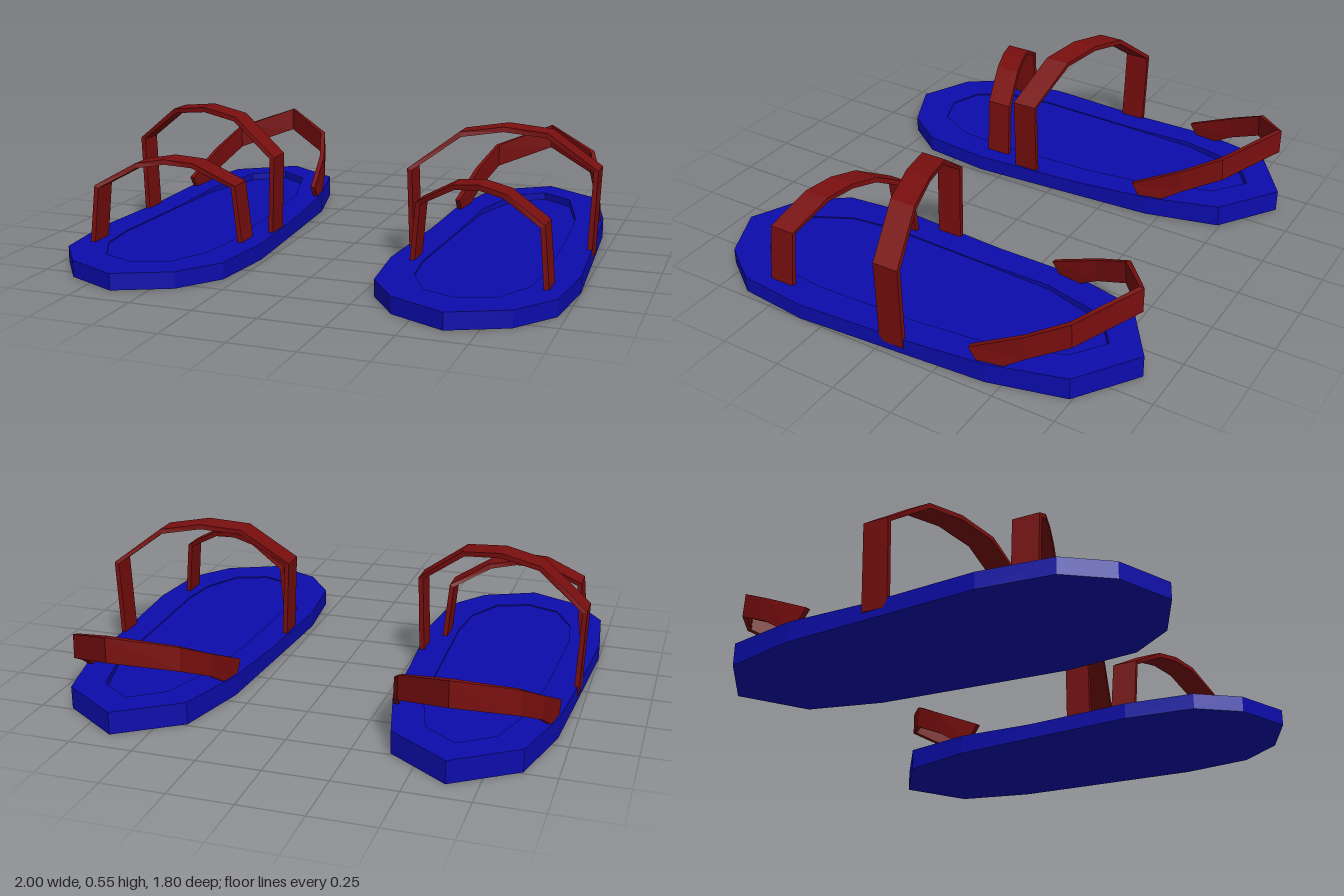
import * as THREE from 'three';

const blue = new THREE.MeshStandardMaterial({ color: 0x0c0cac });
blue.name = 'sole blue';
const red = new THREE.MeshStandardMaterial({ color: 0x780e0e });
red.name = 'strap red';

// Closed, flat-faced skin over rings of corners (counter-clockwise about the path)
function loft(rings) {
  const out = [];
  const n = rings[0].length;
  const tri = (a, b, c) => out.push(...a, ...b, ...c);
  for (let i = 0; i < rings.length - 1; i++) {
    for (let k = 0; k < n; k++) {
      const m = (k + 1) % n;
      const [a, b, c, d] = [rings[i][k], rings[i][m], rings[i + 1][m], rings[i + 1][k]];
      tri(a, b, c);
      tri(a, c, d);
    }
  }
  const first = rings[0], last = rings[rings.length - 1];
  for (let k = 1; k < n - 1; k++) {
    tri(first[0], first[k + 1], first[k]);
    tri(last[0], last[k], last[k + 1]);
  }
  const geo = new THREE.BufferGeometry();
  geo.setAttribute('position', new THREE.Float32BufferAttribute(out, 3));
  geo.computeVertexNormals();
  return geo;
}

// Unit direction of a 2D path at point i
function tangent(path, i) {
  const a = path[Math.max(i - 1, 0)], b = path[Math.min(i + 1, path.length - 1)];
  const len = Math.hypot(b[0] - a[0], b[1] - a[1]);
  return [(b[0] - a[0]) / len, (b[1] - a[1]) / len];
}

// Half list running from +x to the middle, completed on the -x side
const mirrorPath = (half) => [
  ...half.map(([x, ...rest]) => [-x, ...rest]),
  ...half.slice(0, -1).reverse(),
];

// Sole: outline and footbed as [x, z] from toe to heel
function soleGeometry() {
  const outer = [[0, 0.9], [0.215, 0.8], [0.335, 0.635], [0.365, 0.35], [0.337, -0.1], [0.315, -0.44], [0.24, -0.74], [0, -0.905]];
  const inner = [[0, 0.735], [0.135, 0.685], [0.215, 0.53], [0.235, 0.35], [0.22, -0.1], [0.205, -0.4], [0.13, -0.67], [0, -0.765]];
  const rim = (z) => 0.065 + 0.025 * THREE.MathUtils.clamp((-0.1 - z) / 0.55, 0, 1);
  const ring = (half, y) => [...half, ...half.slice(1, -1).reverse().map(([x, z]) => [-x, z])]
    .map(([x, z]) => [x, y(z), z]);
  return loft([ring(outer, () => 0), ring(outer, rim), ring(inner, rim), ring(inner, () => 0.06)]);
}

// Arched strap over the foot, slanted in z by slope
function archGeometry(half, zMid, slope) {
  const path = mirrorPath(half), t = 0.01, w = 0.052;
  return loft(path.map(([x, y], i) => {
    const [tx, ty] = tangent(path, i);
    const z = zMid + slope * x;
    const o = [x - ty * t, y + tx * t], p = [x + ty * t, y - tx * t];
    return [[...o, z - w], [...o, z + w], [...p, z + w], [...p, z - w]];
  }));
}

// Heel strap: [x, z of top edge, z of bottom edge, top y, bottom y]
function heelGeometry() {
  const path = mirrorPath([
    [0.31, -0.37, -0.43, 0.125, 0.035],
    [0.275, -0.575, -0.585, 0.225, 0.135],
    [0.22, -0.73, -0.735, 0.305, 0.21],
    [0, -0.89, -0.89, 0.38, 0.28],
  ]);
  const t = 0.02;
  return loft(path.map(([x, zt, zb, yt, yb], i) => {
    const [tx, tz] = tangent(path, i);
    const dx = -tz * t, dz = tx * t;
    return [[x, yt, zt], [x + dx, yt, zt + dz], [x + dx, yb, zb + dz], [x, yb, zb]];
  }));
}

function sandal(side) {
  const g = new THREE.Group();
  g.name = side > 0 ? 'leftSandal' : 'rightSandal';
  const add = (name, geo, mat) => {
    const mesh = new THREE.Mesh(geo, mat);
    mesh.name = name;
    g.add(mesh);
  };
  add('sole', soleGeometry(), blue);
  add('toeStrap', archGeometry([[0.28, 0.03], [0.255, 0.29], [0.105, 0.375], [0, 0.39]], 0.402, side * 0.34), red);
  add('ankleStrap', archGeometry([[0.332, 0.03], [0.345, 0.375], [0.16, 0.515], [0, 0.537]], 0.037, side * -0.28), red);
  add('heelStrap', heelGeometry(), red);
  g.position.x = side * 0.635;
  return g;
}

export function createModel() {
  const model = new THREE.Group();
  model.name = 'sandals';
  for (const side of [1, -1]) model.add(sandal(side));
  return model;
}
